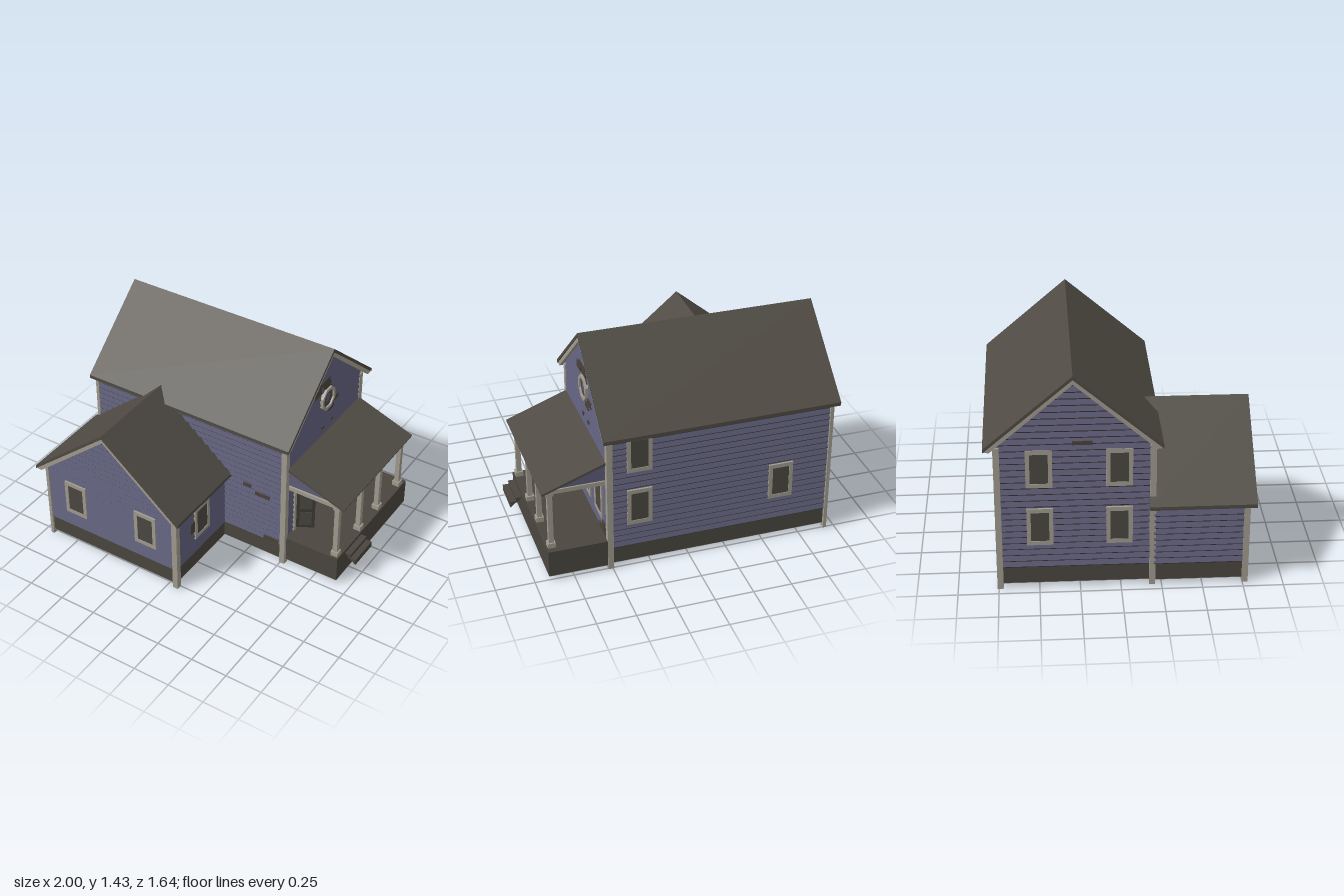
import * as THREE from 'three';

const mat = (name, color) => new THREE.MeshStandardMaterial({ name, color });

export function createModel() {
  const blue = mat('blue siding', 0x5e5d79);
  const trim = mat('weathered trim', 0xa09b8e);
  const roof = mat('roof shingle', 0x4f4a43);
  const stone = mat('foundation', 0x4a463f);
  const glass = mat('window pane', 0x4b4841);
  const bare = mat('bare sheathing', 0x4a4239);
  const dark = mat('door wood', 0x3a3933);
  const concrete = mat('pale underside', 0x96948d);
  const house = new THREE.Group();
  house.name = 'house';

  const add = (parent, name, geo, material) => {
    const m = new THREE.Mesh(geo, material);
    m.name = name;
    parent.add(m);
    return m;
  };
  // Box given by its minimum and maximum on each axis
  const box = (parent, name, material, x0, x1, y0, y1, z0, z1) => {
    const m = add(parent, name, new THREE.BoxGeometry(x1 - x0, y1 - y0, z1 - z0), material);
    m.position.set((x0 + x1) / 2, (y0 + y1) / 2, (z0 + z1) / 2);
    return m;
  };
  const polygon = (pts) => new THREE.Shape(pts.map((p) => new THREE.Vector2(p[0], p[1])));
  const extrude = (shape, depth) => new THREE.ExtrudeGeometry(shape, { depth, bevelEnabled: false });

  // Wall frame: local x runs along the wall, local z points outward
  const wall = (name, x, z, turn) => {
    const g = new THREE.Group();
    g.name = name;
    g.position.set(x, 0, z);
    g.rotation.y = turn;
    house.add(g);
    return g;
  };

  // Lapped boards with dark gaps between y0 and y1; half(y) gives the half width at a height
  const siding = (parent, half, y0, y1) => {
    const gaps = [], boards = [];
    const strip = (out, a, za, b, zb) => {
      const p = half(a), q = half(b);
      out.push(-p, a, za, p, a, za, q, b, zb, -p, a, za, q, b, zb, -q, b, zb);
    };
    const pitch = 0.042, lip = 0.011;
    for (let y = y0; y < y1 - 0.002; y += pitch) {
      const mid = Math.min(y + lip, y1);
      const top = Math.min(y + pitch, y1);
      strip(gaps, y, 0, mid, 0.01);
      if (top > mid) strip(boards, mid, 0.01, top, 0);
    }
    [['sidingBoards', boards, blue], ['sidingGaps', gaps, bare]].forEach(([name, pos, material]) => {
      const geo = new THREE.BufferGeometry();
      geo.setAttribute('position', new THREE.Float32BufferAttribute(pos, 3));
      geo.computeVertexNormals();
      add(parent, name, geo, material);
    });
  };
  const gable = (w, apex, slope) => (y) => Math.max(0, Math.min(w, (apex - y) / slope));

  // Framed window centred at (u, y) on a wall
  const windowAt = (parent, u, y, w = 0.16, h = 0.25) => {
    const g = new THREE.Group();
    g.name = 'window';
    g.position.set(u, y, 0);
    parent.add(g);
    const rect = (a, b) => [[-a, -b], [a, -b], [a, b], [-a, b]];
    const s = polygon(rect(w / 2, h / 2));
    s.holes.push(polygon(rect(w / 2 - 0.025, h / 2 - 0.027)));
    add(g, 'windowFrame', extrude(s, 0.015), trim);
    box(g, 'windowPane', glass, -w / 2 + 0.02, w / 2 - 0.02, -h / 2 + 0.02, h / 2 - 0.02, 0.004, 0.0115);
  };
  // Places where boards are missing: [u0, u1, y0, y1]
  const patches = (parent, list) => list.forEach(([a, b, c, d]) =>
    box(parent, 'missingBoards', bare, a, b, c, d, 0.004, 0.0115));

  // Foundations and their undersides
  box(house, 'mainFoundation', stone, -0.93, 0.52, 0.031, 0.14, -0.74, 0.2);
  box(house, 'wingFoundation', stone, -0.94, 0.06, 0.031, 0.14, 0.19, 0.77);
  box(house, 'mainUnderside', concrete, -0.93, 0.52, 0.028, 0.031, -0.74, 0.2);
  box(house, 'wingUnderside', concrete, -0.94, 0.06, 0.028, 0.031, 0.2, 0.77);
  box(house, 'porchUnderside', concrete, 0.52, 0.91, 0.028, 0.031, -0.755, 0.19);

  // Main house walls, centred on x = -0.205, z = -0.27
  const mainGable = gable(0.47, 1.402, 0.868);
  const right = wall('rightWall', 0.52, -0.27, Math.PI / 2);
  const left = wall('leftWall', -0.93, -0.27, -Math.PI / 2);
  const front = wall('frontWall', -0.205, 0.2, 0);
  const back = wall('backWall', -0.205, -0.74, Math.PI);
  [right, left].forEach((w) => siding(w, mainGable, 0.14, 1.4));
  [front, back].forEach((w) => siding(w, () => 0.725, 0.14, 1.015));

  [-0.22, 0.26].forEach((u) => [0.43, 0.825].forEach((y) => windowAt(left, u, y)));
  [[0.32, 0.43], [0.32, 0.81], [-0.61, 0.43]].forEach(([x, y]) => windowAt(back, -0.205 - x, y));
  [-0.30, -0.56].forEach((z) => windowAt(right, -0.27 - z, 0.43, 0.165, 0.255));
  patches(front, [[0.415, 0.475, 0.53, 0.555], [0.505, 0.615, 0.49, 0.515], [0.575, 0.685, 0.15, 0.18]]);
  patches(right, [
    [-0.15, -0.065, 1.12, 1.17], [-0.1, 0.04, 1.17, 1.2], [-0.04, 0.05, 1.13, 1.17], [0.02, 0.07, 1.08, 1.13],
    [0.08, 0.155, 0.97, 1.01], [0.03, 0.1, 0.93, 0.97], [-0.05, -0.02, 0.83, 0.85], [0.07, 0.1, 0.83, 0.85],
    [0.3, 0.45, 0.212, 0.25], [0.36, 0.42, 0.25, 0.295]]);
  patches(left, [[-0.02, 0.1, 0.98, 1.005]]);

  // Octagonal attic window
  const octagon = (r) => Array.from({ length: 8 }, (_, i) => {
    const a = (i + 0.5) * Math.PI / 4;
    return [r * Math.cos(a), r * Math.sin(a)];
  });
  const ring = polygon(octagon(0.086));
  ring.holes.push(polygon(octagon(0.064)));
  add(right, 'atticWindowFrame', extrude(ring, 0.025), trim).position.set(0.01, 1.05, 0);
  add(right, 'atticWindowPane', extrude(polygon(octagon(0.068)), 0.008), glass).position.set(0.01, 1.05, 0.006);
  const gap = add(right, 'brokenPane', new THREE.CircleGeometry(0.024, 10), blue);
  gap.position.set(0.012, 1.055, 0.0155);
  gap.scale.y = 1.4;
  gap.rotation.z = -0.4;

  // Front door standing ajar
  const doorway = new THREE.Group();
  doorway.name = 'doorway';
  doorway.position.x = -0.275;
  right.add(doorway);
  box(doorway, 'doorFrameLeft', trim, -0.095, -0.07, 0.21, 0.55, 0, 0.016);
  box(doorway, 'doorFrameRight', trim, 0.07, 0.095, 0.21, 0.55, 0, 0.016);
  box(doorway, 'doorFrameTop', trim, -0.095, 0.095, 0.52, 0.555, 0, 0.016);
  box(doorway, 'doorOpening', trim, -0.07, 0.07, 0.21, 0.52, 0.004, 0.0115);
  box(doorway, 'hallShadow', glass, -0.01, 0.058, 0.22, 0.37, 0.01, 0.0145);
  const hinge = new THREE.Group();
  hinge.name = 'door';
  hinge.position.set(-0.07, 0, 0.015);
  hinge.rotation.y = -1.05;
  doorway.add(hinge);
  box(hinge, 'doorLeaf', dark, 0, 0.12, 0.23, 0.52, -0.006, 0.006);
  for (const s of [-1, 1]) {
    for (const [a, b] of [[0.25, 0.36], [0.385, 0.5]]) {
      box(hinge, 'doorPanel', glass, 0.02, 0.1, a, b, s * 0.007 - 0.001, s * 0.007 + 0.001);
    }
  }

  // Front wing walls, centred on x = -0.44
  const wingFront = wall('wingFrontWall', -0.44, 0.77, 0);
  const wingRight = wall('wingRightWall', 0.06, 0.485, Math.PI / 2);
  const wingLeft = wall('wingLeftWall', -0.94, 0.485, -Math.PI / 2);
  siding(wingFront, gable(0.5, 1.012, 0.847), 0.14, 1.005);
  [wingRight, wingLeft].forEach((w) => siding(w, () => 0.285, 0.14, 0.6));
  [-0.715, -0.165].forEach((x) => windowAt(wingFront, x + 0.44, 0.385, 0.165, 0.25));
  windowAt(wingRight, 0.005, 0.378, 0.165, 0.24);
  patches(wingRight, [[-0.125, -0.08, 0.33, 0.41]]);

  // Corner posts, slimmer on the left side: [x, z, height, half width]
  for (const [x, z, h, r] of [[0.512, 0.192, 0.97, 0.019], [0.512, -0.74, 0.97, 0.019],
    [-0.935, 0.192, 0.97, 0.011], [-0.935, -0.74, 0.97, 0.011],
    [0.06, 0.765, 0.58, 0.019], [-0.939, 0.765, 0.58, 0.011]]) {
    box(house, 'cornerPost', trim, x - r, x + r, 0, h, z - 0.019, z + 0.019);
  }

  // Gabled roofs with pale boards under both ends, extruded along local z
  // cut shortens the lower edge so the feet of a board end level
  const chevron = (w, rise, low, high, cut) => {
    const foot = -rise * (w - cut) / w - low;
    return polygon([[cut - w, foot], [0, -low], [w - cut, foot],
      [w, -rise - high], [0, -high], [-w, -rise - high]]);
  };
  const gabledRoof = (name, w, rise, length, ends) => {
    const g = new THREE.Group();
    g.name = name;
    house.add(g);
    add(g, 'roofSlopes', extrude(chevron(w, rise, 0.024, 0, 0), length), roof);
    ends.forEach((z) => {
      add(g, 'rakeBoard', extrude(chevron(w - 0.005, rise, 0.056, 0.022, 0.035), 0.022), trim).position.z = z;
    });
    return g;
  };
  const mainRoof = gabledRoof('mainRoof', 0.535, 0.46, 1.524, [0.005, 1.497]);
  mainRoof.position.set(-0.96, 1.434, -0.283);
  mainRoof.rotation.y = Math.PI / 2;
  const wingRoof = gabledRoof('wingRoof', 0.557, 0.467, 0.648, [0.621]);
  wingRoof.position.set(-0.443, 1.044, 0.17);

  // Porch
  const porch = new THREE.Group();
  porch.name = 'porch';
  house.add(porch);
  box(porch, 'porchDeck', stone, 0.52, 0.91, 0.031, 0.21, -0.755, 0.19);
  for (const z of [0.15, -0.15, -0.4, -0.69]) {
    box(porch, 'porchPost', trim, 0.86, 0.892, 0.21, 0.61, z - 0.016, z + 0.016);
    box(porch, 'postBase', trim, 0.851, 0.901, 0.21, 0.243, z - 0.025, z + 0.025);
    box(porch, 'postCap', trim, 0.853, 0.899, 0.588, 0.605, z - 0.023, z + 0.023);
  }
  box(porch, 'frontBeam', trim, 0.855, 0.9, 0.602, 0.63, -0.715, 0.172);
  for (const z of [0.15, -0.692]) box(porch, 'sideBeam', trim, 0.52, 0.9, 0.602, 0.63, z - 0.02, z + 0.022);
  box(porch, 'porchCeiling', concrete, 0.52, 0.87, 0.618, 0.628, -0.7, 0.16);
  const ends = extrude(polygon([[0.52, 0.628], [0.89, 0.628], [0.52, 0.762]]), 0.86);
  add(porch, 'porchGables', ends, blue).position.z = -0.702;
  const slope = extrude(polygon([[0.52, 0.76], [0.932, 0.612], [0.935, 0.624], [0.52, 0.778]]), 0.92);
  add(porch, 'porchRoof', slope, roof).position.z = -0.735;

  // Porch steps
  const steps = extrude(polygon([[0.92, 0.207], [0.945, 0.175], [0.965, 0.168], [0.998, 0.14],
    [0.998, 0.182], [0.96, 0.182], [0.96, 0.207]]), 0.215);
  add(porch, 'porchSteps', steps, stone).position.z = -0.11;

  return house;
}
